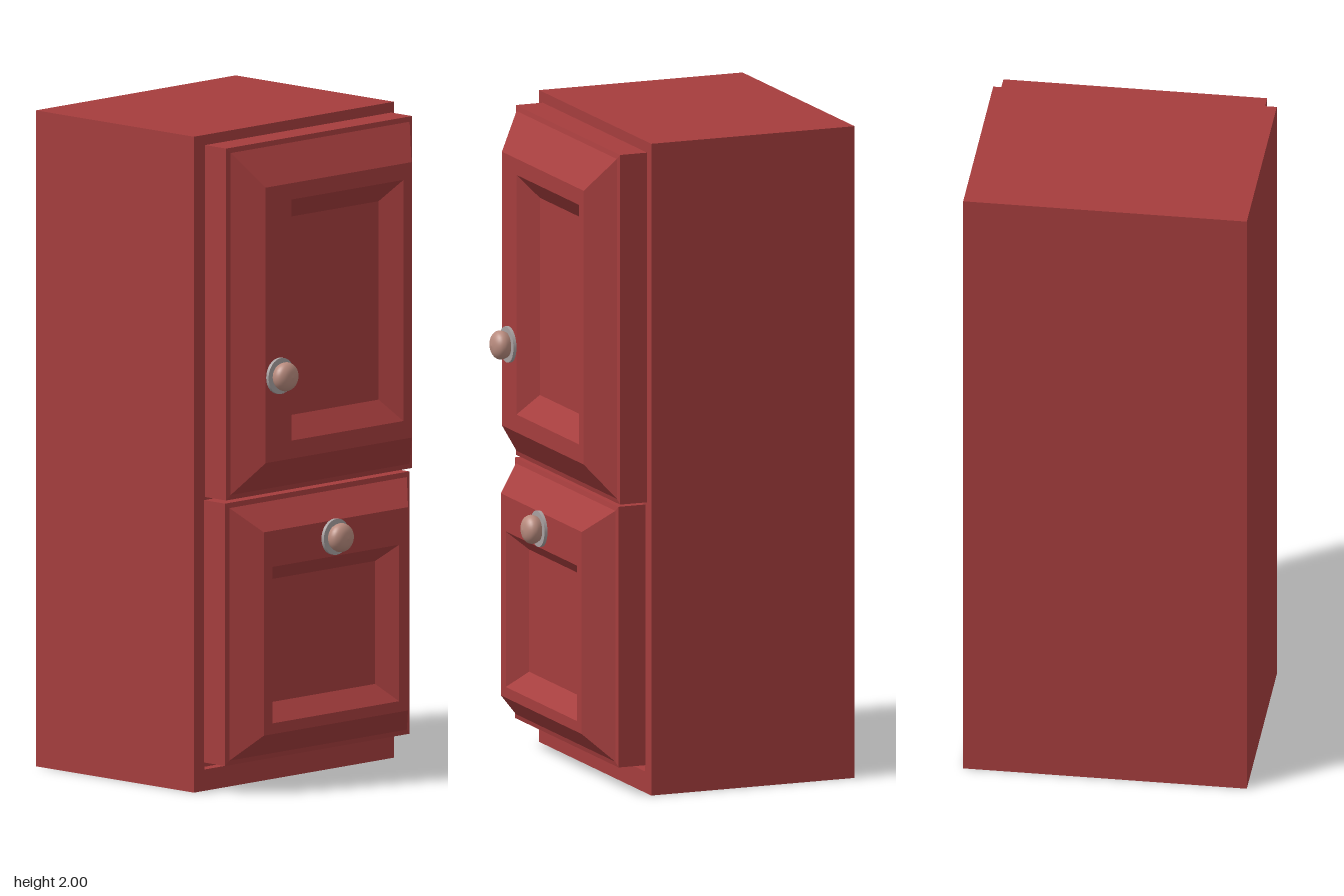
import * as THREE from 'three';

const red = new THREE.MeshStandardMaterial({ color: 0xa53d3d });
const knobMat = new THREE.MeshStandardMaterial({ color: 0xb88b7e });
const plateMat = new THREE.MeshStandardMaterial({ color: 0xa8a0a0 });

// Solid lofted along +x through rectangles given as [x, zMin, zMax, yMin, yMax]
function loftRects(rects) {
  const rings = rects.map(([x, z0, z1, y0, y1]) => [
    [x, y0, z1], [x, y0, z0], [x, y1, z0], [x, y1, z1],
  ]);
  const pos = [];
  const quad = (a, b, c, d) => pos.push(...a, ...b, ...c, ...a, ...c, ...d);
  for (let i = 0; i < rings.length - 1; i++) {
    const a = rings[i], b = rings[i + 1];
    for (let k = 0; k < 4; k++) {
      const n = (k + 1) % 4;
      quad(a[k], a[n], b[n], b[k]);
    }
  }
  const first = rings[0];
  quad(first[3], first[2], first[1], first[0]);
  quad(...rings[rings.length - 1]);
  const geo = new THREE.BufferGeometry();
  geo.setAttribute('position', new THREE.Float32BufferAttribute(pos, 3));
  geo.computeVertexNormals();
  return geo;
}

function addMesh(parent, name, geometry, material) {
  const mesh = new THREE.Mesh(geometry, material);
  mesh.name = name;
  parent.add(mesh);
  return mesh;
}

// Panel door: slab edge, small step, wide bevel, flat frame, sunken panel
function makeDoor(name, outer, frame, recess, panel) {
  const [z0, z1, y0, y1] = outer;
  const s = 0.015;
  const geo = loftRects([
    [0.22, ...outer],
    [0.308, ...outer],
    [0.312, z0 + s, z1 - s, y0 + s, y1 - s],
    [0.39, ...frame],
    [0.39, ...recess],
    [0.335, ...panel],
  ]);
  const group = new THREE.Group();
  group.name = name;
  addMesh(group, name + 'Panel', geo, red);
  return group;
}

// Round knob on a thin plate, turned about the x axis
function makeKnob(name, y, z) {
  const knob = new THREE.Group();
  knob.name = name;
  const plate = addMesh(knob, 'knobPlate', new THREE.CylinderGeometry(0.055, 0.055, 0.01, 32), plateMat);
  plate.position.y = 0.005;
  const profile = new THREE.SplineCurve([
    [0.034, 0.005], [0.041, 0.017], [0.044, 0.03], [0.039, 0.044], [0.024, 0.055], [0, 0.06],
  ].map(([r, h]) => new THREE.Vector2(r, h))).getPoints(20);
  profile[profile.length - 1].x = 0;
  addMesh(knob, 'knobHead', new THREE.LatheGeometry(profile, 32), knobMat);
  knob.rotation.z = -Math.PI / 2;
  knob.position.set(0.39, y, z);
  return knob;
}

export function createModel() {
  const model = new THREE.Group();
  model.name = 'cabinet';

  // Cabinet body with a shallow opening behind the doors
  addMesh(model, 'body', loftRects([
    [-0.45, -0.43, 0.43, 0, 2],
    [0.214, -0.43, 0.43, 0, 2],
    [0.214, -0.38, 0.385, 0.065, 1.94],
    [0.18, -0.38, 0.385, 0.065, 1.94],
  ]), red);

  // Doors: outer edge, front frame, recess edge and sunken panel as [zMin, zMax, yMin, yMax]
  model.add(makeDoor('upperDoor',
    [-0.412, 0.388, 0.897, 1.97], [-0.325, 0.302, 1.01, 1.85],
    [-0.29, 0.19, 1.065, 1.8], [-0.24, 0.14, 1.13, 1.735]));
  model.add(makeDoor('lowerDoor',
    [-0.4, 0.393, 0.088, 0.888], [-0.31, 0.31, 0.18, 0.8],
    [-0.272, 0.272, 0.213, 0.69], [-0.225, 0.223, 0.265, 0.64]));

  model.add(makeKnob('upperKnob', 1.27, 0.245));
  model.add(makeKnob('lowerKnob', 0.75, 0.007));
  return model;
}
